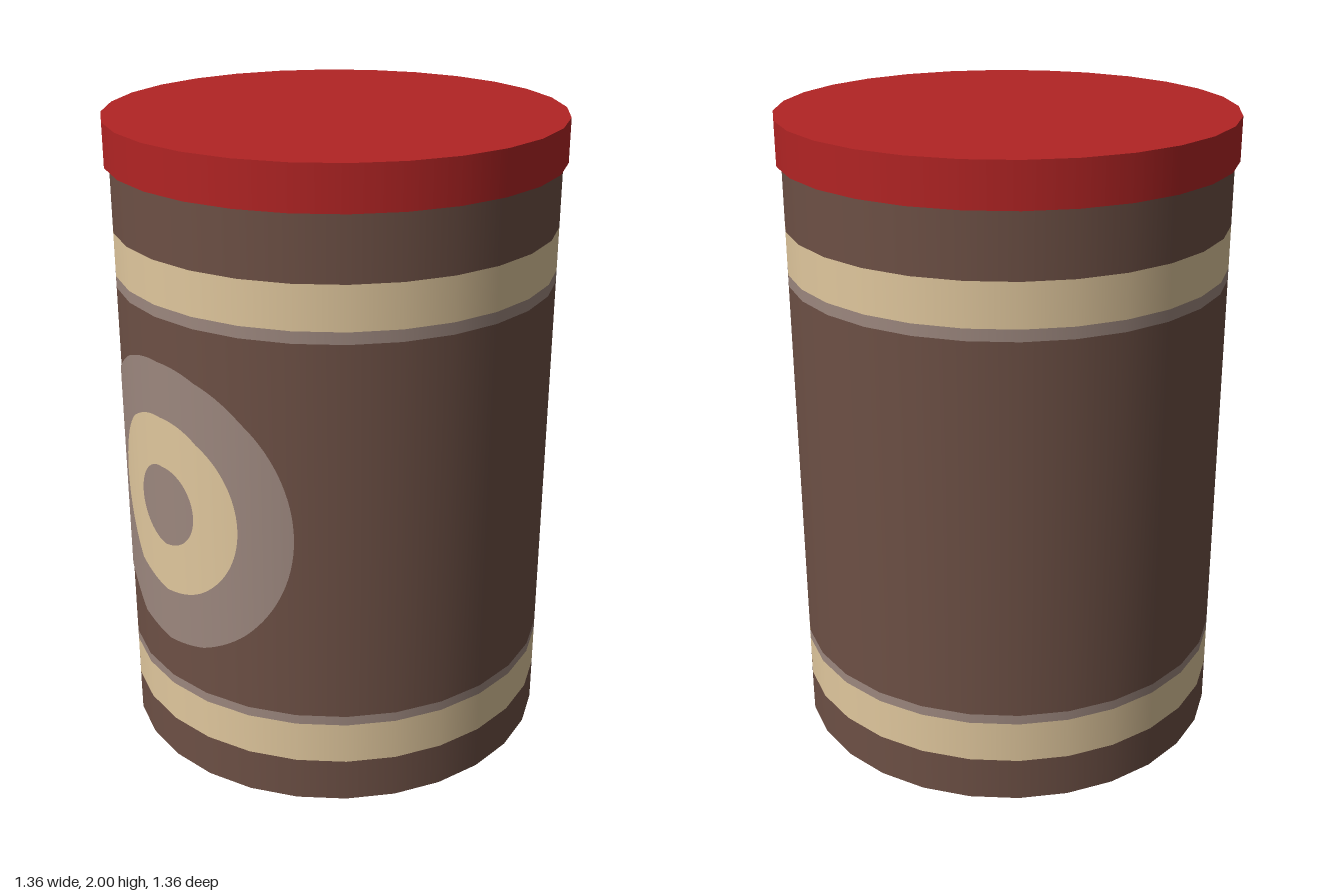
import * as THREE from 'three';

const SIDES = 28;
const RADIUS = 0.665;

function material(name, color) {
  const m = new THREE.MeshStandardMaterial({ color });
  m.name = name;
  return m;
}

// Wraps a flat ring around the front of the faceted can, just above its surface
function wrappedRing(inner, outer, centreY) {
  const geo = new THREE.RingGeometry(inner, outer, 112, 12);
  const pos = geo.attributes.position;
  const normal = geo.attributes.normal;
  const step = (2 * Math.PI) / SIDES;
  for (let i = 0; i < pos.count; i++) {
    const a = pos.getX(i) / RADIUS;
    const fromMid = a - (Math.floor(a / step) + 0.5) * step;
    const r = (RADIUS * Math.cos(step / 2)) / Math.cos(fromMid) + 0.003;
    pos.setXYZ(i, r * Math.sin(a), centreY + pos.getY(i), r * Math.cos(a));
    normal.setXYZ(i, Math.sin(a), 0, Math.cos(a));
  }
  return geo;
}

export function createModel() {
  const group = new THREE.Group();
  group.name = 'canister';
  const brown = material('brown', 0x6d5045);
  const cream = material('cream', 0xe0c79d);
  const taupe = material('taupe', 0x9c877e);
  const red = material('red', 0xb22424);

  const add = (name, geometry, mat) => {
    const mesh = new THREE.Mesh(geometry, mat);
    mesh.name = name;
    group.add(mesh);
    return mesh;
  };

  // Tapered base
  add('base', new THREE.CylinderGeometry(RADIUS, 0.53, 0.055, SIDES), brown).position.y = 0.0275;

  // Wall, stacked from coloured sections
  const sections = [
    ['lowerWall', 0.055, 0.19, brown],
    ['lowerBand', 0.19, 0.32, cream],
    ['lowerBandTrim', 0.32, 0.35, taupe],
    ['middleWall', 0.35, 1.515, brown],
    ['upperBandTrim', 1.515, 1.55, taupe],
    ['upperBand', 1.55, 1.68, cream],
    ['upperWall', 1.68, 1.88, brown],
  ];
  for (const [name, y0, y1, mat] of sections) {
    const geo = new THREE.CylinderGeometry(RADIUS, RADIUS, y1 - y0, SIDES, 1, true);
    add(name, geo, mat).position.y = (y0 + y1) / 2;
  }

  // Lid
  add('lid', new THREE.CylinderGeometry(0.68, 0.68, 0.13, SIDES), red).position.y = 1.935;

  // Round emblem wrapped on the front
  add('emblemOuterRing', wrappedRing(0.28, 0.449, 0.934), taupe);
  add('emblemInnerRing', wrappedRing(0.125, 0.28, 0.934), cream);
  add('emblemCentre', wrappedRing(0, 0.125, 0.934), taupe);

  return group;
}
